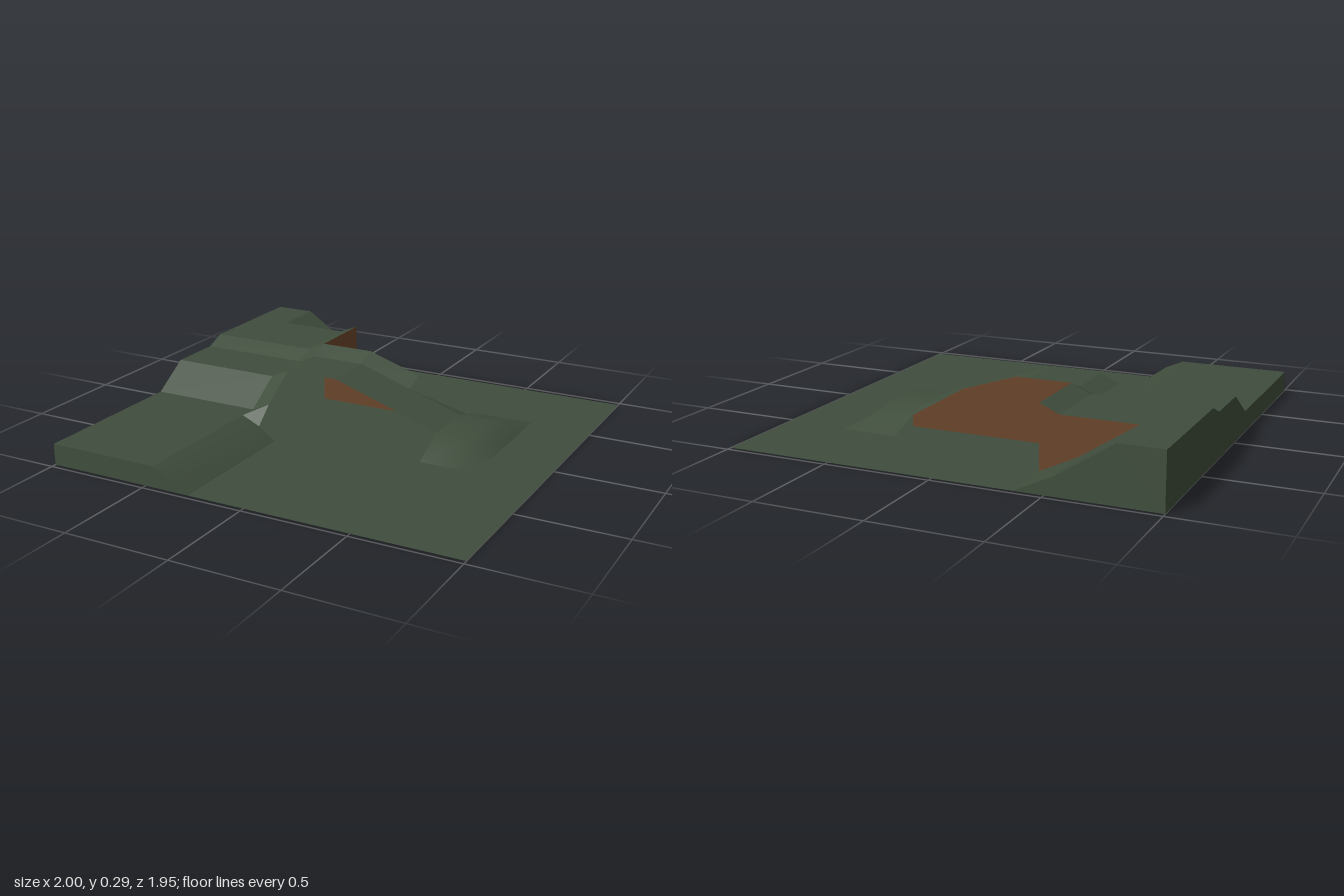
import * as THREE from 'three';

const grass = new THREE.MeshStandardMaterial({ color: 0x404e3d, side: THREE.DoubleSide });
grass.name = 'grass green';
const earth = new THREE.MeshStandardMaterial({ color: 0x6b452b, side: THREE.DoubleSide });
earth.name = 'earth brown';

export function createModel() {
  const group = new THREE.Group();

  function add(name, geometry, material) {
    const mesh = new THREE.Mesh(geometry, material);
    mesh.name = name;
    group.add(mesh);
  }

  // Terrain patch: one row of heights for each z, one column for each x
  function patch(name, xs, zs, heights, smooth = false) {
    const points = [];
    const index = [];
    const w = xs.length;
    zs.forEach((z, j) => xs.forEach((x, i) => points.push(x, heights[j][i], z)));
    for (let j = 0; j < zs.length - 1; j++) {
      for (let i = 0; i < w - 1; i++) {
        const a = j * w + i;
        index.push(a, a + w, a + 1, a + 1, a + w, a + w + 1);
      }
    }
    let g = new THREE.BufferGeometry();
    g.setAttribute('position', new THREE.Float32BufferAttribute(points, 3));
    g.setIndex(index);
    if (!smooth) g = g.toNonIndexed();
    g.computeVertexNormals();
    add(name, g, grass);
  }

  // Upright walls drawn as outlines: (x, y) at a fixed z, or (z, y) at a fixed x
  const outline = (pts) => new THREE.Shape(pts.map(([a, b]) => new THREE.Vector2(a, b)));
  function wallAtZ(name, z, pts, material) {
    add(name, new THREE.ShapeGeometry(outline(pts)).translate(0, 0, z), material);
  }
  function wallAtX(name, x, pts, material) {
    add(name, new THREE.ShapeGeometry(outline(pts)).rotateY(-Math.PI / 2).translate(x, 0, 0), material);
  }

  const D = 0.975; // half depth of the tile
  const E = -0.365; // cliff edge of the terraces

  // Ground sheet, open beneath the low terrace
  const ground = outline([[-1, -D], [1, -D], [1, D], [-1, D]]);
  ground.holes.push(outline([[-0.95, -0.9], [-0.95, -0.27], [-0.37, -0.27], [-0.37, -0.9]]));
  add('ground', new THREE.ShapeGeometry(ground).rotateX(-Math.PI / 2), grass);

  // High, middle and low terraces, each rising slightly towards the edge
  patch('terraces', [-1, -0.455, E], [-0.71, -0.36, -0.265, 0, 0.18, 0.27], [
    [0.255, 0.255, 0.295],
    [0.255, 0.255, 0.295],
    [0.215, 0.215, 0.255],
    [0.215, 0.215, 0.255],
    [0.1, 0.1, 0.14],
    [0.1, 0.1, 0.06],
  ]);
  patch('lowTerrace', [-1, -0.455], [0.27, D], [[0.1, 0.1], [0.1, 0.1]]);
  const lowFall = [0.1, 0.06, 0];
  patch('lowTerraceSlope', [-0.455, E, -0.28], [0.27, D], [lowFall, lowFall], true);

  // Ramp dropping from the high terrace along the back
  const rampX = [-1, -0.8, -0.54, E];
  const rampY = [0.255, 0.255, 0.085, 0];
  patch('backRamp', rampX, [-D, -0.71], [rampY, rampY]);

  // Ridge and middle shelf running down towards the left end
  patch('ridge', [E, -0.1, 0.165, 0.43], [-0.36, -0.265, 0], [
    [0.295, 0.295, 0.21, 0.055],
    [0.255, 0.255, 0.168, 0.08],
    [0.255, 0.255, 0.168, 0.08],
  ]);

  // Rounded foot at the end of the ridge
  patch('ridgeFoot', [0.43, 0.6, 0.7], [-0.53, -0.36, -0.265, 0, 0.18], [
    [0, 0, 0],
    [0.055, 0.055, 0],
    [0.08, 0.08, 0],
    [0.08, 0.08, 0],
    [0, 0, 0],
  ], true);

  // Outer sides of the tile
  wallAtX('terraceSide', -1, [
    [-D, 0], [D, 0], [D, 0.1], [0.18, 0.1], [0, 0.215], [-0.265, 0.215], [-0.36, 0.255], [-D, 0.255],
  ], grass);
  wallAtZ('frontSide', D, [[-1, 0], [-0.28, 0], [E, 0.06], [-0.455, 0.1], [-1, 0.1]], grass);
  wallAtZ('backSide', -D, [[-1, 0], [E, 0], [-0.54, 0.085], [-0.8, 0.255], [-1, 0.255]], grass);

  // Bare earth cliffs
  wallAtZ('ridgeCliff', -0.36, [
    [E, 0], [0.43, 0], [0.43, 0.055], [0.165, 0.21], [-0.1, 0.295], [E, 0.295],
  ], earth);
  wallAtX('terraceCliff', E, [[-0.71, 0], [-0.36, 0], [-0.36, 0.295], [-0.71, 0.295]], earth);
  wallAtZ('rampCliff', -0.71, [
    [-0.8, 0.255], [-0.54, 0.085], [E, 0], [E, 0.295], [-0.455, 0.255],
  ], earth);

  return group;
}
